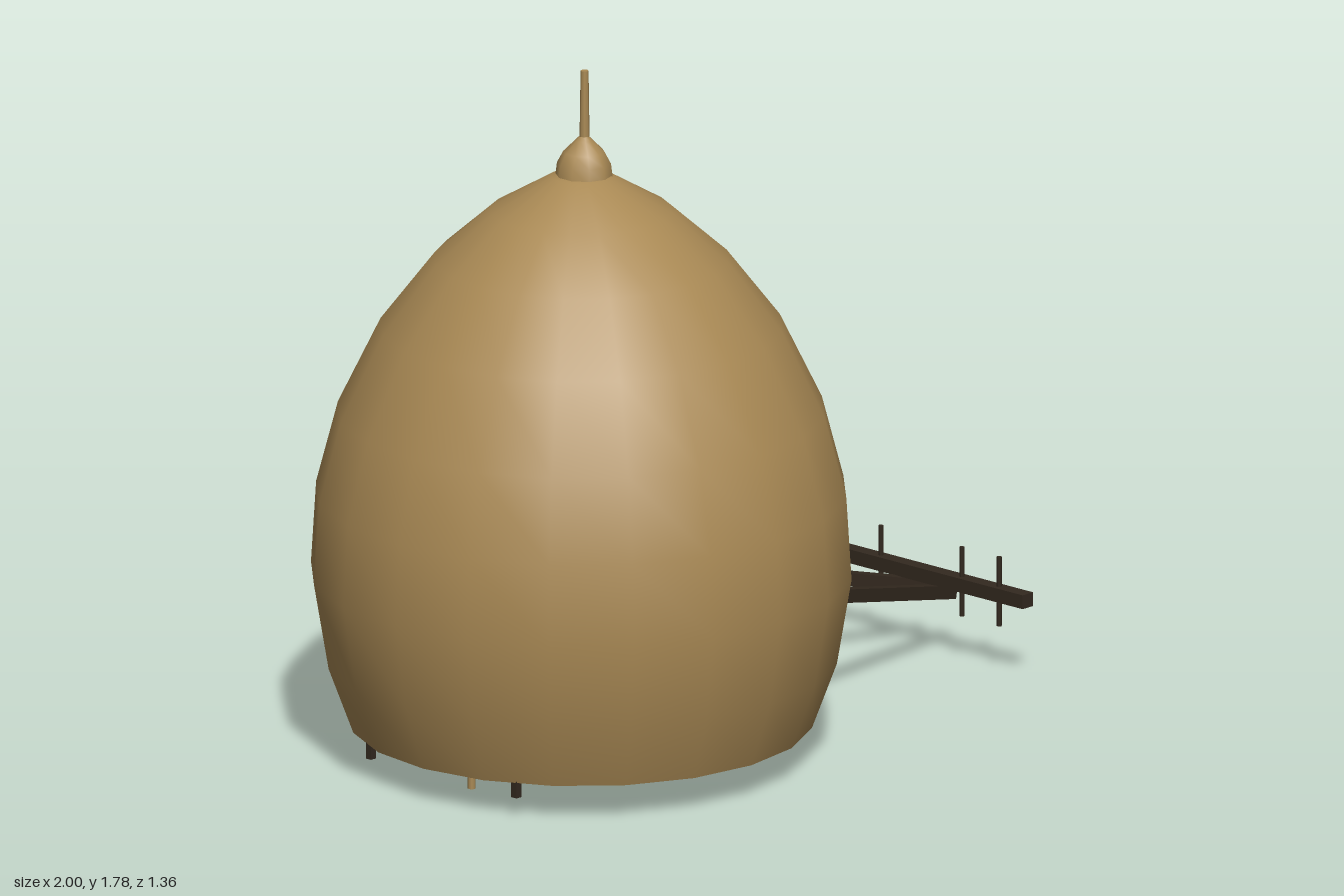
import * as THREE from 'three';

export function createModel() {
  const model = new THREE.Group();
  const straw = new THREE.MeshStandardMaterial({ color: 0xaa8a55, side: THREE.DoubleSide });
  straw.name = 'straw';
  const darkWood = new THREE.MeshStandardMaterial({ color: 0x33291f });
  darkWood.name = 'dark wood';
  const brown = new THREE.MeshStandardMaterial({ color: 0x55433a });
  brown.name = 'brown';
  const CX = -0.32; // axis of the dome

  function add(name, geometry, material, x = 0, y = 0, z = 0) {
    const mesh = new THREE.Mesh(geometry, material);
    mesh.name = name;
    mesh.position.set(x, y, z);
    model.add(mesh);
    return mesh;
  }
  const box = (name, w, h, d, mat, x, y, z) => add(name, new THREE.BoxGeometry(w, h, d), mat, x, y, z);
  const lathe = (pts, sides) => new THREE.LatheGeometry(pts.map(p => new THREE.Vector2(...p)), sides);

  // Straight square bar between two points
  function bar(name, a, b, size, mat) {
    const p = new THREE.Vector3(...a), q = new THREE.Vector3(...b);
    const mesh = box(name, size, size, p.distanceTo(q), mat, 0, 0, 0);
    mesh.position.copy(p).add(q).multiplyScalar(0.5);
    mesh.lookAt(q);
    return mesh;
  }

  // Hollow dome, open underneath
  add('dome', lathe([
    [0.58, 0.09], [0.643, 0.26], [0.68, 0.48], [0.667, 0.69], [0.612, 0.9],
    [0.505, 1.12], [0.37, 1.295], [0.228, 1.42], [0.075, 1.51], [0, 1.515],
  ], 20), straw, CX);

  // Bell-shaped cap and finial rod
  add('cap', lathe([
    [0.073, 1.5], [0.068, 1.54], [0.052, 1.57], [0.022, 1.6], [0.012, 1.61],
  ], 10), straw, -0.31);
  add('finial', new THREE.CylinderGeometry(0.01, 0.013, 0.2, 8), straw, -0.308, 1.68, 0);

  // Channel-shaped bed with a row of pegs below
  box('bedFloor', 0.85, 0.02, 0.22, straw, -0.315, 0.14, 0);
  for (const s of [-1, 1]) box('bedSide', 0.85, 0.15, 0.012, straw, -0.315, 0.145, s * 0.11);
  for (let i = 0; i < 5; i++) {
    add('peg', new THREE.CylinderGeometry(0.01, 0.01, 0.14, 8), straw, -0.722 + i * 0.205, 0.07, 0);
  }

  // Round load lying on the bed
  for (let i = 0; i < 10; i++) {
    add('ball', new THREE.SphereGeometry(0.05, 10, 8), brown,
      CX - 0.2 + (i % 5) * 0.1, 0.21 + (i % 2) * 0.03, i < 5 ? -0.05 : 0.05);
  }

  for (const s of [-1, 1]) {
    // Wheels inside the dome
    const wheel = new THREE.Group();
    wheel.name = 'wheel';
    wheel.position.set(CX, 0.5, s * 0.3);
    const rim = new THREE.Mesh(new THREE.TorusGeometry(0.28, 0.022, 6, 24), darkWood);
    rim.name = 'rim';
    const hub = new THREE.Mesh(new THREE.CylinderGeometry(0.05, 0.05, 0.08, 10).rotateX(Math.PI / 2), darkWood);
    hub.name = 'hub';
    wheel.add(rim, hub);
    for (let i = 0; i < 4; i++) {
      const spoke = new THREE.Mesh(new THREE.BoxGeometry(0.55, 0.025, 0.02), darkWood);
      spoke.name = 'spoke';
      spoke.rotation.z = i * Math.PI / 4;
      wheel.add(spoke);
    }
    model.add(wheel);

    // Short corner posts bent inward at the top
    for (const x of [-0.825, 0.2]) {
      bar('post', [x, 0.05, s * 0.248], [x, 0.12, s * 0.248], 0.018, darkWood);
      bar('postTop', [x, 0.112, s * 0.25], [x, 0.2, s * 0.23], 0.018, darkWood);
    }

    // Pulling shafts
    bar('shaft', [0.285, 0.322, s * 0.208], [0.995, 0.146, s * 0.038], 0.034, darkWood);

    // Yoke pins
    for (const z of [0.138, 0.265]) {
      add('yokePin', new THREE.CylinderGeometry(0.007, 0.007, 0.18, 6), darkWood, 0.928, 0.207, s * z);
    }
  }

  // Axle and yoke
  bar('axle', [CX, 0.5, -0.34], [CX, 0.5, 0.34], 0.04, darkWood);
  box('yoke', 0.038, 0.036, 0.725, darkWood, 0.928, 0.202, 0);

  return model;
}
